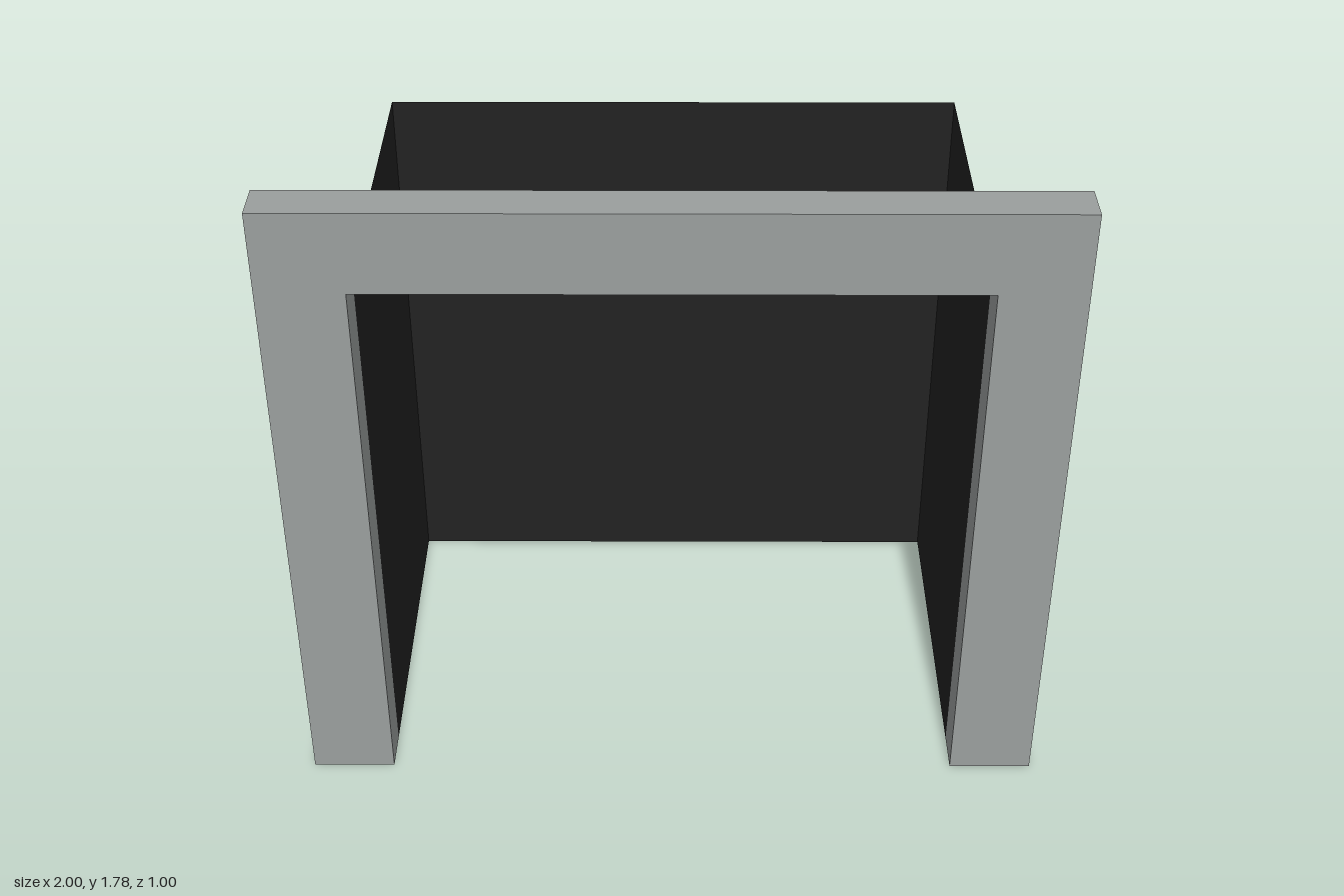
import * as THREE from 'three';

// overall sizes
const W = 1, H = 1.778;            // frame half width and height
const IN_W = 0.778, IN_H = 1.556;  // opening half width and height
const FRONT = 0.5, STEP = 0.389, BACK = -0.5;

export function createModel() {
  const frameGrey = new THREE.MeshStandardMaterial({ color: 0x9b9f9e, side: THREE.DoubleSide });
  frameGrey.name = 'frameGrey';
  const linerBlack = new THREE.MeshStandardMaterial({ color: 0x222222, side: THREE.DoubleSide });
  linerBlack.name = 'linerBlack';

  const model = new THREE.Group();
  model.name = 'fireplaceSurround';
  const frame = new THREE.Group();
  frame.name = 'frame';
  const liner = new THREE.Group();
  liner.name = 'liner';
  model.add(frame, liner);

  const add = (parent, name, geometry, material) => {
    const mesh = new THREE.Mesh(geometry, material);
    mesh.name = name;
    parent.add(mesh);
    return mesh;
  };

  // upright sheet facing sideways at x, running from z0 to z1
  const sideSheet = (parent, name, x, z0, z1, height, material) => {
    const geometry = new THREE.PlaneGeometry(z1 - z0, height);
    geometry.rotateY(Math.sign(x) * Math.PI / 2);
    geometry.translate(x, height / 2, (z0 + z1) / 2);
    return add(parent, name, geometry, material);
  };

  // arch-shaped front face
  const arch = new THREE.Shape([
    [-W, 0], [-IN_W, 0], [-IN_W, IN_H], [IN_W, IN_H],
    [IN_W, 0], [W, 0], [W, H], [-W, H],
  ].map(([x, y]) => new THREE.Vector2(x, y)));
  add(frame, 'frameFront', new THREE.ShapeGeometry(arch).translate(0, 0, FRONT), frameGrey);

  // top return of the hollow frame
  add(frame, 'frameTop', new THREE.PlaneGeometry(2 * W, FRONT - STEP)
    .rotateX(-Math.PI / 2).translate(0, H, (FRONT + STEP) / 2), frameGrey);

  // outer returns, inner jambs and liner walls on both sides
  for (const [side, s] of [['left', 1], ['right', -1]]) {
    sideSheet(frame, side + 'OuterReturn', s * W, STEP, FRONT, H, frameGrey);
    sideSheet(frame, side + 'InnerJamb', s * IN_W, STEP, FRONT, IN_H, frameGrey);
    sideSheet(liner, side + 'LinerWall', s * IN_W, BACK, STEP, IN_H, linerBlack);
  }

  // back wall of the liner, open above and below
  add(liner, 'linerBack', new THREE.PlaneGeometry(2 * IN_W, IN_H)
    .rotateY(Math.PI).translate(0, IN_H / 2, BACK), linerBlack);

  return model;
}
